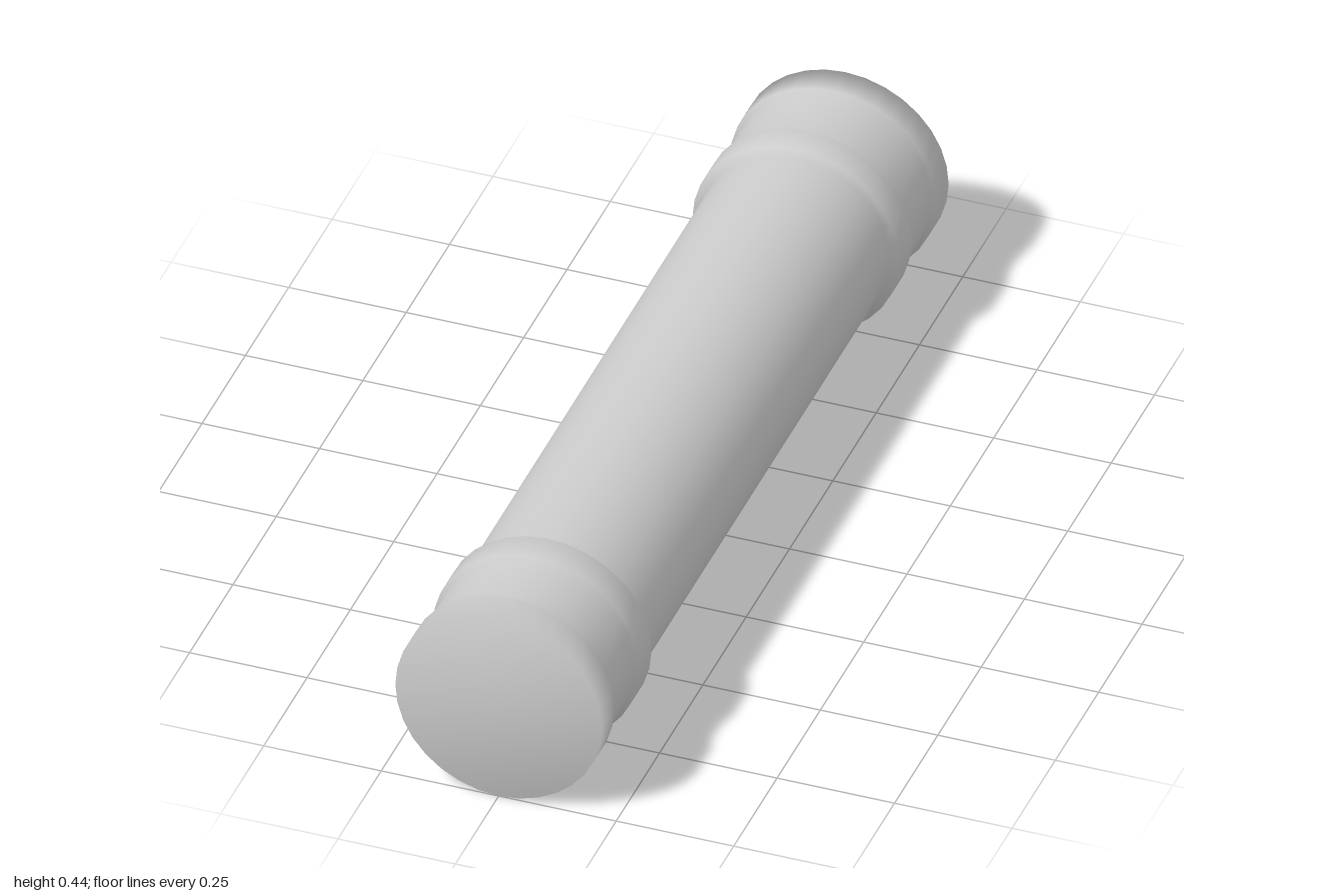
import * as THREE from 'three';

const SIDES = 32;
const AXIS_HEIGHT = 0.22;

export function createModel() {
  const model = new THREE.Group();
  model.name = 'cappedTube';
  const material = new THREE.MeshStandardMaterial({ color: 0xcccccc });

  // Half profile [radius, distance from the middle], from shaft to end face
  const half = [
    [0.2, 0.715],                 // shaft end
    [0.22, 0.715], [0.22, 0.785], // inner collar
    [0.21, 0.785], [0.21, 0.93],  // neck
    [0.22, 0.93], [0.22, 1],      // end rim
    [0, 1],                       // end face centre
  ];

  // Mirrored into one continuous, softly shaded profile
  const profile = [
    ...half.slice().reverse().map(([r, d]) => new THREE.Vector2(r, -d)),
    ...half.map(([r, d]) => new THREE.Vector2(r, d)),
  ];

  // Shaft with collared ends, laid along z
  const geometry = new THREE.LatheGeometry(profile, SIDES);
  geometry.rotateX(Math.PI / 2);
  const tube = new THREE.Mesh(geometry, material);
  tube.name = 'shaftWithCollaredEnds';
  tube.position.y = AXIS_HEIGHT;
  model.add(tube);

  return model;
}
